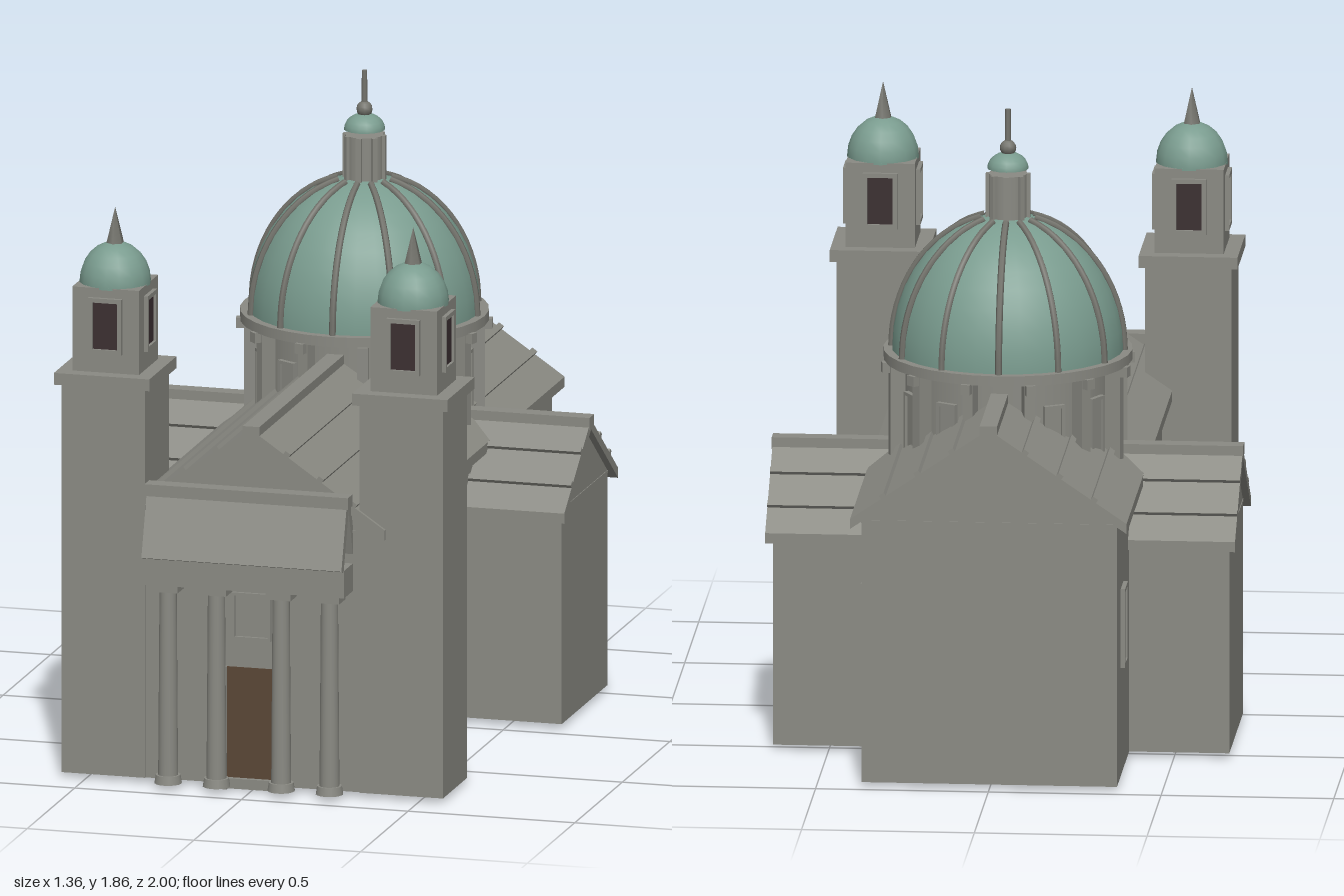
import * as THREE from 'three';

const mat = (name, color) => {
  const m = new THREE.MeshStandardMaterial({ color });
  m.name = name;
  return m;
};

export function createModel() {
  const stone = mat('stone', 0x8a8a83);
  const copper = mat('copper', 0x7a9c8f);
  const trim = mat('darkTrim', 0x74746d);
  const wood = mat('doorWood', 0x5a4636);
  const louver = mat('louver', 0x3b2f31);
  const root = new THREE.Group();
  root.name = 'domedChurch';

  const add = (parent, name, geo, m, x = 0, y = 0, z = 0) => {
    const mesh = new THREE.Mesh(geo, m);
    mesh.name = name;
    mesh.position.set(x, y, z);
    parent.add(mesh);
    return mesh;
  };
  // Box given by its size, its bottom height and its centre in x and z
  const box = (parent, name, w, h, d, x, y, z, m = stone) =>
    add(parent, name, new THREE.BoxGeometry(w, h, d), m, x, y + h / 2, z);
  const cyl = (parent, name, rTop, rBot, h, n, x, y, z, m = stone) =>
    add(parent, name, new THREE.CylinderGeometry(rTop, rBot, h, n), m, x, y + h / 2, z);
  const group = (parent, name, x = 0, y = 0, z = 0) => {
    const g = new THREE.Group();
    g.name = name;
    g.position.set(x, y, z);
    parent.add(g);
    return g;
  };
  const prism = (pts, z0, z1) => {
    const shape = new THREE.Shape(pts.map(p => new THREE.Vector2(p[0], p[1])));
    const g = new THREE.ExtrudeGeometry(shape, { depth: z1 - z0, bevelEnabled: false });
    return g.translate(0, 0, z0);
  };
  // Rectangular frame standing on y = 0, facing +z
  const frameGeo = (w, h, t, depth) => {
    const s = new THREE.Shape([[-w, 0], [w, 0], [w, h], [-w, h]].map(p => new THREE.Vector2(...p)));
    s.holes.push(new THREE.Path([[t - w, t], [t - w, h - t], [w - t, h - t], [w - t, t]].map(p => new THREE.Vector2(...p))));
    return new THREE.ExtrudeGeometry(s, { depth, bevelEnabled: false });
  };
  const halfDome = (r, n, rings, sy) =>
    new THREE.SphereGeometry(r, n, rings, 0, Math.PI * 2, 0, Math.PI / 2).scale(1, sy, 1);

  // Hall with a gabled, battened roof running along z
  const hall = (name, o) => {
    const g = group(root, name);
    const top = x => o.ridge - o.slope * Math.abs(x);
    const t = 0.03, { wall: w, eave: e } = o;
    add(g, name + 'Walls', prism([[-w, 0.015], [w, 0.015], [w, top(w) - t], [0, top(0) - t], [-w, top(w) - t]], o.w0, o.w1), stone);
    add(g, name + 'Roof', prism([[-e, top(e) - t], [0, top(0) - t], [e, top(e) - t], [e, top(e)], [0, top(0)], [-e, top(e)]], o.r0, o.r1), stone);
    const len = o.r1 - o.r0, mid = (o.r0 + o.r1) / 2;
    for (const s of [-1, 1]) for (const x of o.battens) {
      const b = box(g, 'roofBatten', 0.018, 0.02, len, s * x, top(x) - 0.008, mid);
      b.rotation.z = -s * Math.atan(o.slope);
    }
    box(g, 'ridgeCap', 0.05, 0.035, len + 0.004, 0, o.ridge - 0.025, mid);
    // Gable string courses
    for (const z of [o.w0, o.w1]) box(g, 'gableLine', w * 2, 0.008, 0.004, 0, top(w) - t - 0.008, z);
    return g;
  };
  const cz = -0.295;
  hall('nave', { wall: 0.37, eave: 0.4, ridge: 1.075, slope: 0.68, w0: -0.97, w1: 0.88, r0: -0.998, r1: 0.897, battens: [0.105, 0.205, 0.305] });
  const transept = hall('transept', { wall: 0.24, eave: 0.283, ridge: 0.865, slope: 0.75, w0: -0.66, w1: 0.66, r0: -0.68, r1: 0.68, battens: [0.1, 0.2] });
  transept.rotation.y = Math.PI / 2;
  transept.position.z = cz;

  // Side windows
  for (const s of [-1, 1]) for (const z of [0.328, -0.787]) {
    const f = add(root, 'sideWindowFrame', frameGeo(0.048, 0.235, 0.012, 0.014), stone, s * 0.369, 0.335, z);
    f.rotation.y = s * Math.PI / 2;
    box(root, 'sideWindowPane', 0.008, 0.215, 0.075, s * 0.371, 0.345, z);
  }

  // Bell towers
  for (const s of [-1, 1]) {
    const t = group(root, s > 0 ? 'leftTower' : 'rightTower', s * 0.447, 0, 0.76);
    box(t, 'towerShaft', 0.25, 1.16, 0.252, 0, 0.015, 0);
    box(t, 'towerCornice', 0.286, 0.035, 0.286, 0, 1.17, 0);
    box(t, 'belfry', 0.2, 0.25, 0.2, 0, 1.205, 0);
    for (let i = 0; i < 4; i++) {
      const side = group(t, 'belfryOpening', 0, 1.262, 0);
      side.rotation.y = i * Math.PI / 2;
      add(side, 'belfryFrame', frameGeo(0.05, 0.165, 0.013, 0.014), stone, 0, 0, 0.098);
      box(side, 'belfryLouver', 0.08, 0.145, 0.006, 0, 0.01, 0.101, louver);
    }
    add(t, 'towerDome', halfDome(0.104, 16, 6, 1.13), copper, 0, 1.455, 0);
    cyl(t, 'towerDomeBase', 0.104, 0.104, 0.006, 16, 0, 1.45, 0, copper);
    cyl(t, 'towerSpike', 0, 0.028, 0.115, 6, 0, 1.56, 0, trim);
  }

  // Drum with pilasters and blind windows
  const dome = group(root, 'centralDome', 0, 0, cz);
  cyl(dome, 'drum', 0.305, 0.305, 0.32, 32, 0, 0.81, 0);
  cyl(dome, 'drumCornice', 0.36, 0.36, 0.03, 32, 0, 1.12, 0);
  add(dome, 'domeShell', halfDome(0.335, 32, 10, 1.185), copper, 0, 1.148, 0);
  const ribPath = new THREE.CatmullRomCurve3(Array.from({ length: 9 }, (_, i) => {
    const a = i / 8 * 1.34;
    return new THREE.Vector3(0, 0.4 * Math.sin(a), 0.338 * Math.cos(a));
  }));
  const ribGeo = new THREE.TubeGeometry(ribPath, 16, 0.01, 6);
  for (let i = 0; i < 12; i++) {
    const bay = group(dome, 'drumBay');
    bay.rotation.y = i * Math.PI / 6;
    add(bay, 'domeRib', ribGeo, trim, 0, 1.148, 0);
    add(bay, 'drumWindowFrame', frameGeo(0.032, 0.18, 0.01, 0.02), stone, 0, 0.865, 0.298);
    box(bay, 'drumWindowPane', 0.05, 0.165, 0.012, 0, 0.872, 0.304);
    const half = group(bay, 'drumPilaster');
    half.rotation.y = Math.PI / 12;
    box(half, 'pilasterShaft', 0.032, 0.3, 0.06, 0, 0.825, 0.318);
    box(half, 'pilasterBracket', 0.028, 0.03, 0.05, 0, 1.092, 0.345);
  }

  // Lantern and finial
  cyl(dome, 'lantern', 0.056, 0.056, 0.16, 16, 0, 1.507, 0);
  for (let i = 0; i < 8; i++) {
    const a = i * Math.PI / 4;
    const p = box(dome, 'lanternPilaster', 0.016, 0.16, 0.016, Math.sin(a) * 0.056, 1.507, Math.cos(a) * 0.056);
    p.rotation.y = a;
  }
  add(dome, 'lanternDome', halfDome(0.06, 16, 6, 0.8), copper, 0, 1.682, 0);
  add(dome, 'finialBall', new THREE.SphereGeometry(0.024, 10, 8), trim, 0, 1.742, 0);
  cyl(dome, 'finialRod', 0.008, 0.009, 0.105, 8, 0, 1.752, 0, trim);

  // Portico
  const portico = group(root, 'portico');
  for (const x of [-0.242, -0.097, 0.097, 0.242]) {
    cyl(portico, 'columnBase', 0.036, 0.04, 0.025, 16, x, 0.015, 0.922);
    cyl(portico, 'columnShaft', 0.025, 0.029, 0.555, 16, x, 0.035, 0.922);
    box(portico, 'columnCapital', 0.076, 0.025, 0.066, x, 0.588, 0.922);
  }
  box(portico, 'entablature', 0.6, 0.082, 0.095, 0, 0.612, 0.925);
  for (const [z, a] of [[0.9585, -0.3], [0.888, 0.3]]) {
    box(portico, 'porticoRoofSlab', 0.6, 0.2, 0.025, 0, 0.69, z).rotation.x = a;
  }
  box(portico, 'porticoRidge', 0.61, 0.035, 0.05, 0, 0.87, 0.925);

  // Entrance
  box(portico, 'door', 0.148, 0.33, 0.008, 0, 0.035, 0.886, wood);
  for (const s of [-1, 1]) box(portico, 'doorJamb', 0.018, 0.365, 0.022, s * 0.083, 0, 0.886);
  box(portico, 'doorStep', 0.184, 0.03, 0.03, 0, 0.006, 0.89);
  box(portico, 'doorPanel', 0.148, 0.225, 0.008, 0, 0.365, 0.884);
  add(portico, 'upperWindowFrame', frameGeo(0.058, 0.14, 0.009, 0.014), stone, 0, 0.448, 0.884);
  return root;
}
